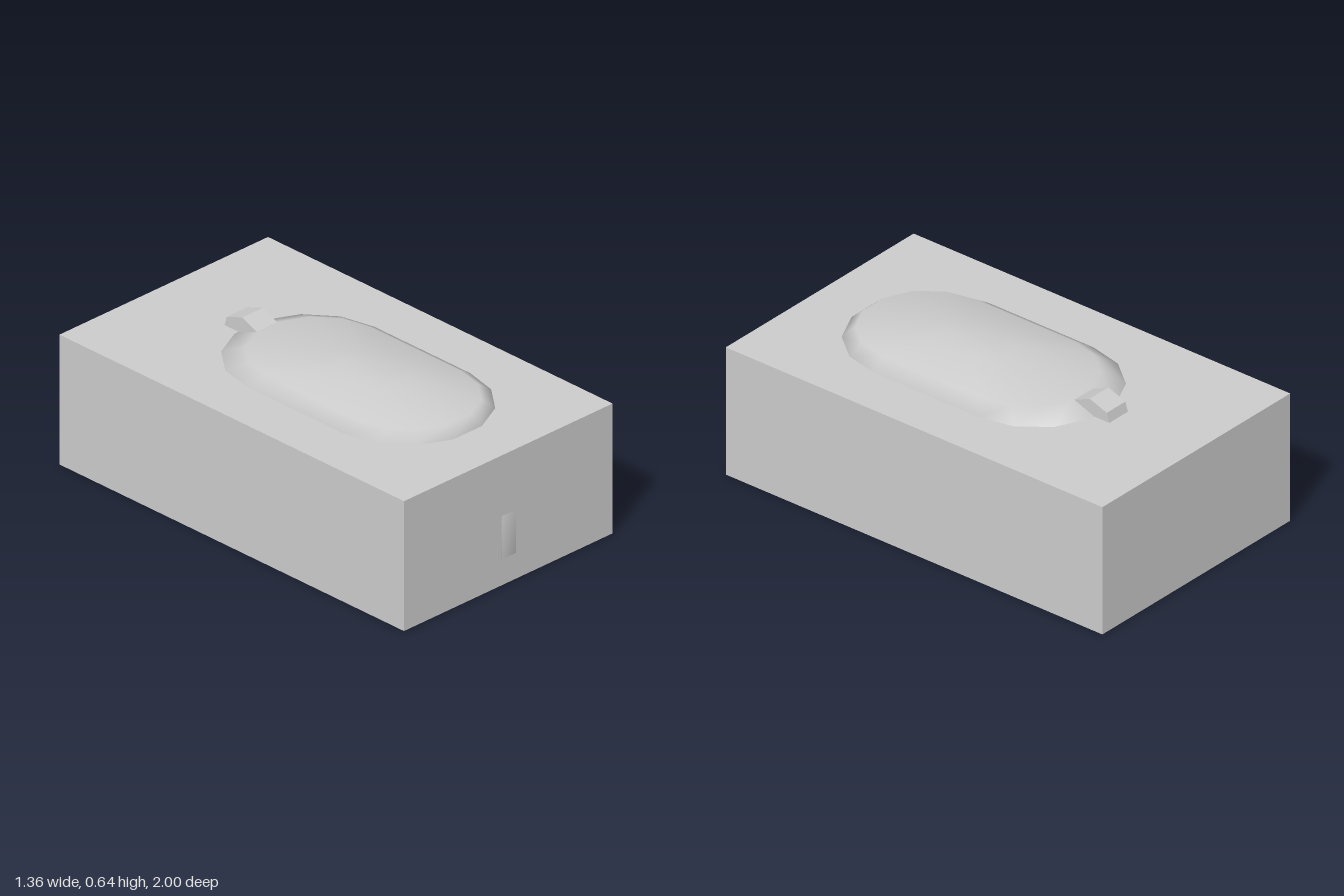
import * as THREE from 'three';
import { mergeVertices } from 'three/addons/utils/BufferGeometryUtils.js';

const HALF_TURN_STEPS = 7;

// Stadium outline: radius r, half straight length h, centred at z = zc
function stadium(r, h, zc, y) {
  const pts = [];
  for (const end of [1, -1]) {
    for (let i = 0; i <= HALF_TURN_STEPS; i++) {
      const a = (end > 0 ? 0 : Math.PI) + (i / HALF_TURN_STEPS) * Math.PI;
      pts.push([r * Math.cos(a), y, zc + end * h + r * Math.sin(a)]);
    }
  }
  return pts;
}

// Smooth skin over a stack of loops, listed from bottom to top
function loft(loops) {
  const n = loops[0].length;
  const index = [];
  for (let i = 0; i < loops.length - 1; i++) {
    for (let k = 0; k < n; k++) {
      const a = i * n + k, b = i * n + ((k + 1) % n);
      index.push(a, a + n, b, b, a + n, b + n);
    }
  }
  const geo = new THREE.BufferGeometry();
  geo.setAttribute('position', new THREE.Float32BufferAttribute(loops.flat(2), 3));
  geo.setIndex(index);
  geo.computeVertexNormals();
  return geo;
}

export function createModel() {
  const group = new THREE.Group();
  const grey = new THREE.MeshStandardMaterial({ color: 0xcccccc });
  grey.name = 'light grey';
  const add = (name, geo) => {
    const mesh = new THREE.Mesh(geo, grey);
    mesh.name = name;
    group.add(mesh);
    return mesh;
  };

  // Outer block
  add('block', new THREE.BoxGeometry(1.11, 0.56, 1.863)).position.y = 0.28;

  // Tapering basin that passes through the block, domed on top
  add('basin', loft([
    stadium(0, 0.37, 0, -0.003),
    stadium(0.49, 0.37, 0, -0.003),
    stadium(0.34, 0.26, 0.12, 0.56),
    stadium(0.276, 0.247, 0.15, 0.6),
    stadium(0.092, 0.094, 0.18, 0.636),
    stadium(0, 0.094, 0.18, 0.637),
  ]));

  // Small wedge at the back end of the dome, extruded across x
  const profile = new THREE.Shape([
    [0.36, 0.55], [0.55, 0.55], [0.535, 0.6], [0.45, 0.63], [0.37, 0.595],
  ].map(([z, y]) => new THREE.Vector2(z, y)));
  const wedge = new THREE.ExtrudeGeometry(profile, { depth: 0.11, bevelEnabled: false });
  wedge.translate(0, 0, -0.055).rotateY(Math.PI / 2);
  add('wedge', wedge);

  // Thin upright plate on the front face, softly shaded
  let plate = new THREE.BoxGeometry(0.075, 0.185, 0.009);
  plate.deleteAttribute('normal');
  plate.deleteAttribute('uv');
  plate = mergeVertices(plate);
  plate.computeVertexNormals();
  add('frontPlate', plate).position.set(0, 0.207, 0.931);

  // The whole piece stands slightly turned
  group.rotation.y = 0.14;
  return group;
}
